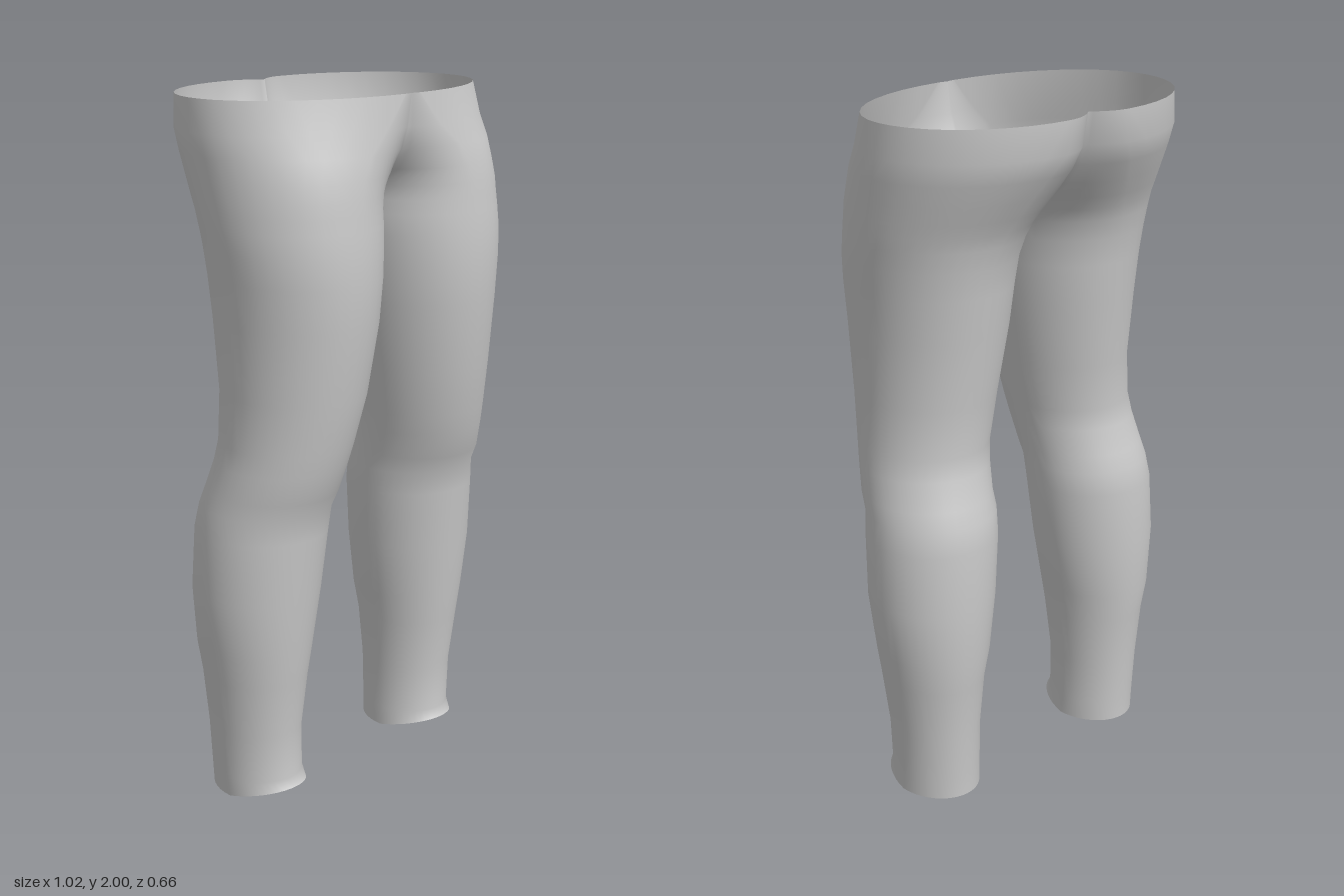
import * as THREE from 'three';
import { mergeVertices } from 'three/addons/utils/BufferGeometryUtils.js';

// Leg cross-sections, bottom to top: [y, inner x, outer x, front z, back z]
const LEG = [
  [0, 0.203, 0.447, 0.145, -0.15], [0.06, 0.204, 0.449, 0.127, -0.15],
  [0.2, 0.205, 0.455, 0.13, -0.157], [0.36, 0.188, 0.474, 0.15, -0.17],
  [0.45, 0.172, 0.488, 0.162, -0.185], [0.62, 0.143, 0.508, 0.18, -0.19],
  [0.8, 0.126, 0.5, 0.197, -0.187], [0.87, 0.122, 0.49, 0.205, -0.175],
  [0.92, 0.12, 0.483, 0.23, -0.157], [1.0, 0.108, 0.47, 0.253, -0.132],
  [1.06, 0.098, 0.462, 0.268, -0.122], [1.2, 0.07, 0.453, 0.298, -0.132],
  [1.4, 0.036, 0.46, 0.323, -0.16], [1.52, 0.02, 0.472, 0.328, -0.172],
  [1.6, 0.01, 0.48, 0.325, -0.184],
].map(([y, xi, xo, zf, zb]) => {
  const zc = (zf + zb) / 2, xc = (xi + xo) / 2;
  return { y, xi, xo, zf, zb, zc, fs: zc, bs: zc, xf: xc, xb: xc };
});

// Hip sections, open at the centre seam:
// [y, outer x, front z, back z, front seam z, back seam z, front crest x, back crest x]
const HIPS = [
  [1.66, 0.485, 0.32, -0.2, 0.05, 0.05, 0.24, 0.23],
  [1.7, 0.488, 0.315, -0.215, 0.075, -0.06, 0.235, 0.215],
  [1.74, 0.49, 0.312, -0.238, 0.115, -0.12, 0.23, 0.2],
  [1.79, 0.492, 0.305, -0.265, 0.195, -0.185, 0.215, 0.18],
  [1.85, 0.495, 0.297, -0.3, 0.245, -0.235, 0.18, 0.15],
  [1.91, 0.497, 0.286, -0.328, 0.265, -0.268, 0.11, 0.125],
  [2.0, 0.49, 0.28, -0.331, 0.277, -0.286, 0.03, 0.11],
].map(([y, xo, zf, zb, fs, bs, xf, xb], i) => (
  { y, xi: 0, xo, zf, zb, zc: [0.05, 0.04, 0.03, 0.015, 0, -0.015, -0.025][i], fs, bs, xf, xb }
));

const SECTIONS = [...LEG, ...HIPS];
const QUARTER = 10;

// One ring, from the inner side round the front, outside and back to the inner side
function ring(s, level) {
  const points = [];
  const start = (seam, z) => Math.asin(THREE.MathUtils.clamp((seam - s.zc) / (z - s.zc), 0, 0.985));
  const quarter = (a0, xc, z, inner) => {
    const list = [];
    for (let i = 0; i <= QUARTER; i++) {
      const a = a0 + (Math.PI / 2 - a0) * i / QUARTER;
      const x = inner ? xc - (xc - s.xi) * Math.cos(a) / Math.cos(a0)
        : xc + (s.xo - xc) * Math.cos(a);
      const lift = level === 0 && z > s.zc ? 0.035 * Math.sin(a) : 0; // hem rises at the front
      list.push([x, s.y + lift, s.zc + (z - s.zc) * Math.sin(a)]);
    }
    return list;
  };
  points.push(...quarter(start(s.fs, s.zf), s.xf, s.zf, true));
  points.push(...quarter(0, s.xf, s.zf, false).reverse().slice(1));
  points.push(...quarter(0, s.xb, s.zb, false).slice(1));
  points.push(...quarter(start(s.bs, s.zb), s.xb, s.zb, true).reverse().slice(1));
  return points;
}

export function createModel() {
  const fabric = new THREE.MeshStandardMaterial({ color: 0xc8c8c8, side: THREE.DoubleSide });
  fabric.name = 'grey fabric';
  const positions = [], index = [];
  const count = QUARTER * 4 + 1;

  // Both halves, mirrored about the centre seam
  for (const side of [1, -1]) {
    const base = positions.length / 3;
    SECTIONS.forEach((s, j) => {
      for (const [x, y, z] of ring(s, j)) positions.push(side * x, y, z);
      if (j === 0) return;
      for (let i = 0; i < count - 1; i++) {
        const a = base + (j - 1) * count + i, b = a + 1, c = b + count, d = a + count;
        if (side > 0) index.push(a, b, c, a, c, d);
        else index.push(a, c, b, a, d, c);
      }
    });
  }
  let geometry = new THREE.BufferGeometry();
  geometry.setAttribute('position', new THREE.Float32BufferAttribute(positions, 3));
  geometry.setIndex(index);
  geometry = mergeVertices(geometry, 1e-4); // weld the seams so the cloth shades smoothly
  geometry.computeVertexNormals();

  const leggings = new THREE.Mesh(geometry, fabric);
  leggings.name = 'leggings';
  const group = new THREE.Group();
  group.name = 'trousers';
  group.add(leggings);
  return group;
}
